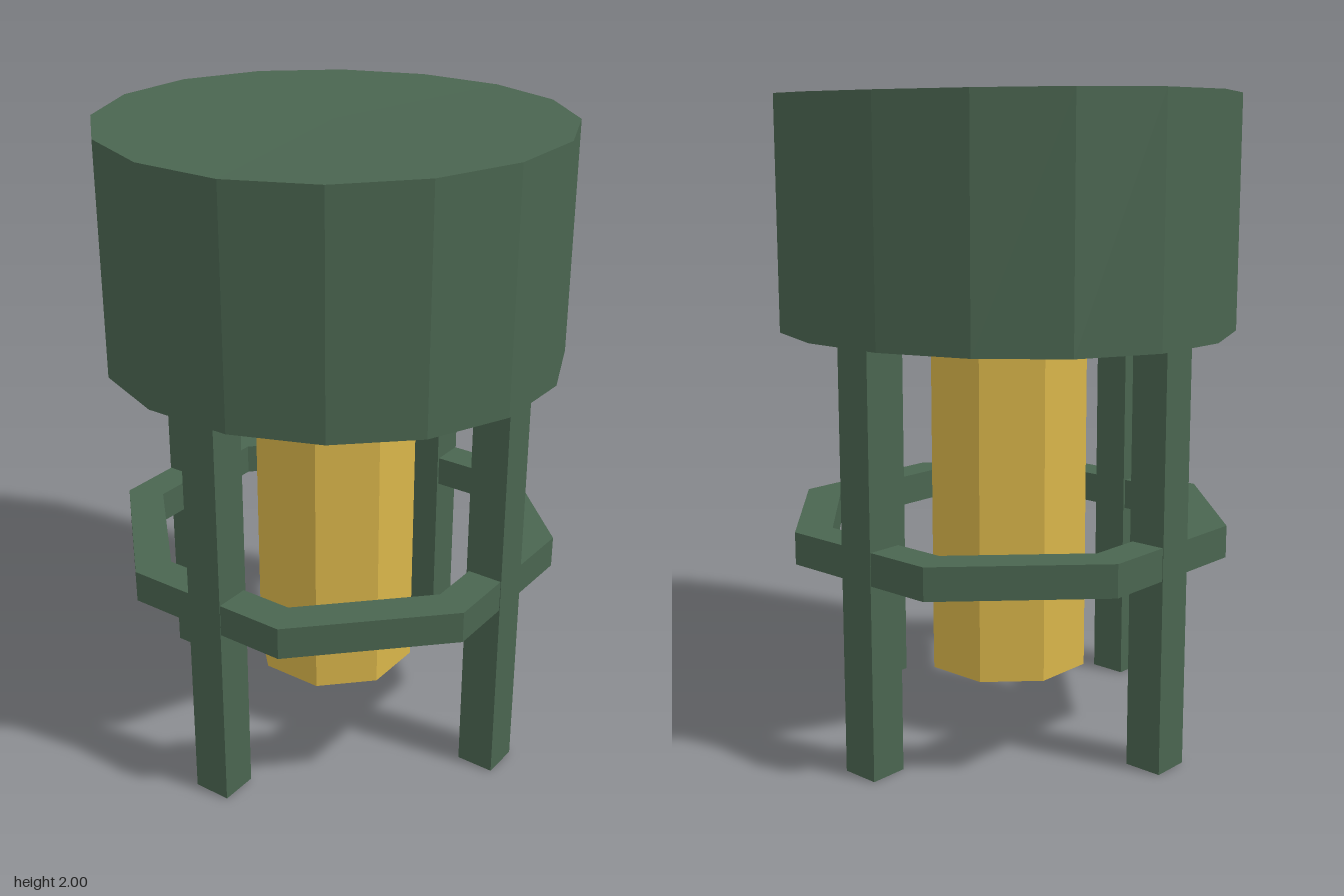
import * as THREE from 'three';

export function createModel() {
  const model = new THREE.Group();
  const green = new THREE.MeshStandardMaterial({ color: 0x4a6550, flatShading: true });
  green.name = 'dark green';
  const gold = new THREE.MeshStandardMaterial({ color: 0xd9b54a, flatShading: true });
  gold.name = 'gold';

  const add = (name, geometry, material, x = 0, y = 0, z = 0) => {
    const mesh = new THREE.Mesh(geometry, material);
    mesh.name = name;
    mesh.position.set(x, y, z);
    model.add(mesh);
    return mesh;
  };

  // Prism with a flat side facing each axis
  const prism = (radius, height, sides) =>
    new THREE.CylinderGeometry(radius, radius, height, sides, 1, false, Math.PI / sides);

  // Tank, slightly taller towards front and back than at the sides
  const tankRadius = 0.709;
  const tank = prism(tankRadius, 0.71, 16);
  const p = tank.attributes.position;
  for (let i = 0; i < p.count; i++) {
    const bend = (p.getZ(i) ** 2 - p.getX(i) ** 2) / tankRadius ** 2;
    p.setY(i, p.getY(i) + Math.sign(p.getY(i)) * 0.005 * bend);
  }
  tank.computeVertexNormals();
  add('tank', tank, green, 0, 1.64, 0);

  // Central pipe
  add('pipe', prism(0.26, 1.1, 8), gold, 0, 0.75, 0);

  // Four legs, one on each axis
  const names = ['leftLeg', 'frontLeg', 'rightLeg', 'backLeg'];
  names.forEach((name, i) => {
    const a = (i * Math.PI) / 2;
    add(name, new THREE.BoxGeometry(0.12, 1.3, 0.12), green,
      0.597 * Math.cos(a), 0.65, 0.597 * Math.sin(a));
  });

  // Octagonal brace ring
  const inner = 0.59, outer = 0.709;
  const section = [[inner, 0.6], [outer, 0.6], [outer, 0.7], [inner, 0.7], [inner, 0.6]]
    .map(([r, y]) => new THREE.Vector2(r, y));
  add('braceRing', new THREE.LatheGeometry(section, 8, Math.PI / 8), green);

  return model;
}
